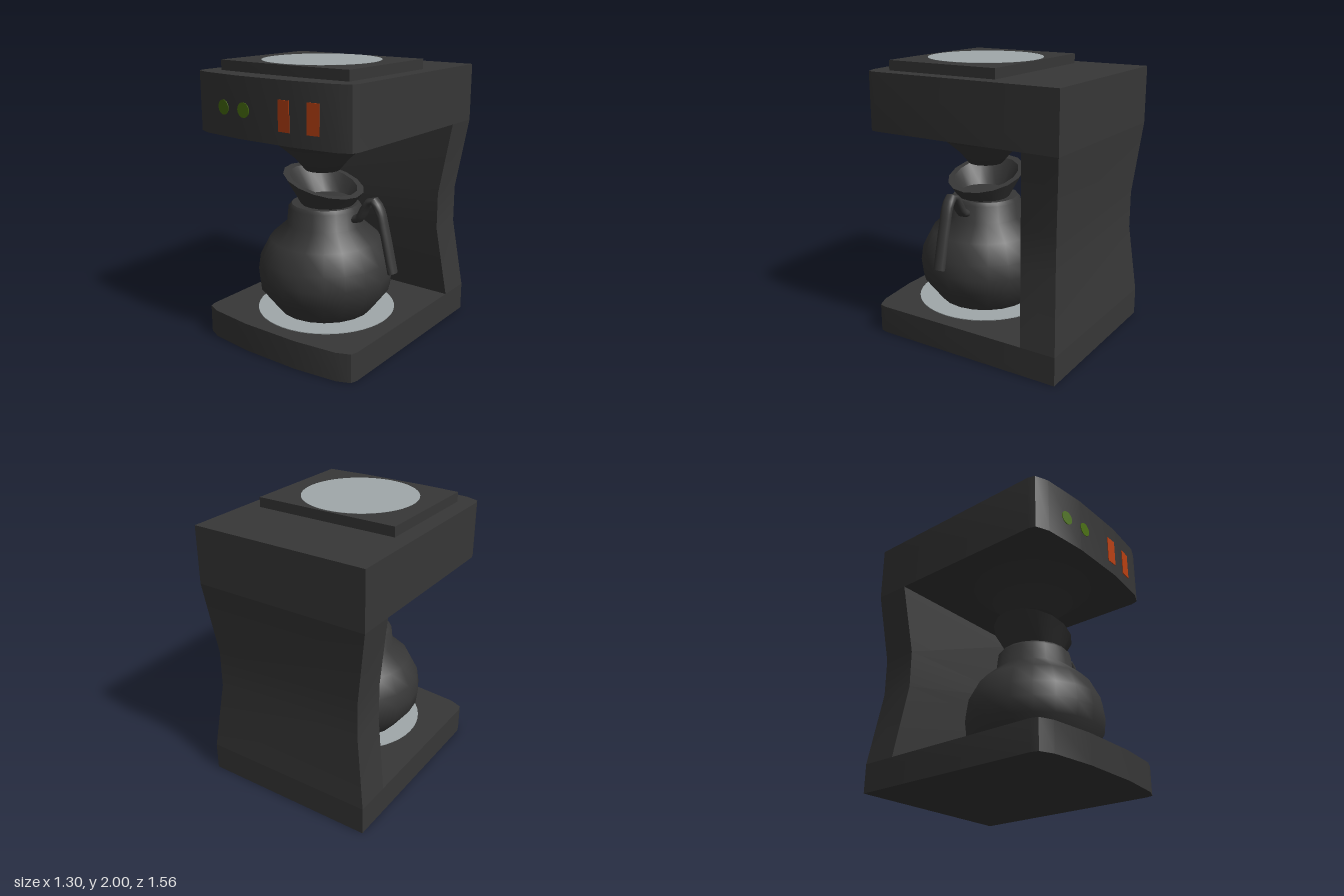
import * as THREE from 'three';
import { toCreasedNormals } from 'three/addons/utils/BufferGeometryUtils.js';

const material = (name, color) => {
  const m = new THREE.MeshStandardMaterial({ color });
  m.name = name;
  return m;
};

export function createModel() {
  const model = new THREE.Group();
  model.name = 'coffeeMaker';
  const charcoal = material('charcoal', 0x373737);
  const steel = material('steel', 0xa0a8aa);
  const green = material('green', 0x4a7010);
  const orange = material('orange', 0xb84012);

  const add = (name, geometry, mat, x = 0, y = 0, z = 0, parent = model) => {
    const mesh = new THREE.Mesh(geometry, mat);
    mesh.name = name;
    mesh.position.set(x, y, z);
    parent.add(mesh);
    return mesh;
  };

  // Upright slab from a mirrored front edge of [x, z] points
  const slab = (half, back, height) => {
    const outline = [[half[0][0], back], ...half];
    const all = [...outline, ...outline.map(([x, z]) => [-x, z]).reverse()];
    const shape = new THREE.Shape(all.map(([x, z]) => new THREE.Vector2(x, -z)));
    const g = new THREE.ExtrudeGeometry(shape, { depth: height, bevelEnabled: false });
    return toCreasedNormals(g.rotateX(-Math.PI / 2), 0.6);
  };
  const lathe = (points, sides) =>
    new THREE.LatheGeometry(points.map(([r, y]) => new THREE.Vector2(r, y)), sides);

  // Base, head and lid share the bowed front
  const front = [[0.65, 0.65], [0.635, 0.70], [0.54, 0.74], [0.22, 0.775]];
  add('base', slab(front, -0.78, 0.205), charcoal);
  add('head', slab(front, -0.78, 0.41), charcoal, 0, 1.52);
  add('lid', slab([[0.535, 0.6], [0.22, 0.615]], -0.26, 0.07), charcoal, 0.005, 1.93);

  // Back column, narrowed and pushed forward at the waist
  const rows = [[0.205, 0.65, 0], [0.73, 0.575, 0.045], [1.0, 0.575, 0.045], [1.52, 0.65, 0]];
  const column = new THREE.BoxGeometry(1, 1, 1, 1, 3, 1);
  const cp = column.attributes.position;
  for (let i = 0; i < cp.count; i++) {
    const [y, halfWidth, shift] = rows[Math.round((cp.getY(i) + 0.5) * 3)];
    cp.setXYZ(i, cp.getX(i) * 2 * halfWidth, y, (cp.getZ(i) > 0 ? -0.52 : -0.78) + shift);
  }
  add('backColumn', toCreasedNormals(column, 0.6), charcoal);

  // Steel discs on the lid and under the pot
  add('lidDisc', new THREE.CylinderGeometry(0.41, 0.41, 0.006, 48), steel, 0, 1.999, 0.17);
  add('warmingPlate', new THREE.CylinderGeometry(0.5, 0.5, 0.008, 48), steel, 0.03, 0.206, 0.17);

  // Filter basket below the head
  const basket = lathe([[0, 1.235], [0.125, 1.235], [0.195, 1.32], [0.275, 1.39], [0.445, 1.525]], 20);
  add('filterBasket', toCreasedNormals(basket, 0.9), charcoal, 0.005, 0, 0.175);

  // Jug with a slanted pouring funnel and a bent handle
  const jug = new THREE.Group();
  jug.name = 'jug';
  jug.position.set(0.022, 0, 0.17);
  model.add(jug);
  const body = lathe([[0, 0.21], [0.345, 0.21], [0.475, 0.38], [0.488, 0.49], [0.472, 0.6],
    [0.4, 0.74], [0.275, 0.85], [0.262, 0.97], [0.24, 0.995], [0, 0.995]], 20);
  add('jugBody', toCreasedNormals(body, 0.85), charcoal, 0, 0, 0, jug);

  const funnel = lathe([[0.175, 0.97], [0.28, 1.152], [0.235, 1.152], [0.16, 1.03], [0, 1.03]], 16);
  const fp = funnel.attributes.position;
  for (let i = 0; i < fp.count; i++) {
    const x = fp.getX(i);
    if (fp.getY(i) > 1.1) fp.setXY(i, x * 1.04 - 0.014, fp.getY(i) - 0.283 * x);
    else fp.setX(i, x + 0.02);
  }
  add('pouringFunnel', toCreasedNormals(funnel, 0.6), charcoal, 0, 0, 0, jug);

  const path = new THREE.CatmullRomCurve3([[0.22, 0.91], [0.3, 0.93], [0.35, 1.01], [0.41, 1.075],
    [0.46, 1.03], [0.51, 0.87], [0.58, 0.585]].map(([x, y]) => new THREE.Vector3(x, y, 0)));
  const section = new THREE.Shape().absellipse(0, 0, 0.045, 0.031, 0, Math.PI * 2);
  const handle = new THREE.ExtrudeGeometry(section, { steps: 20, curveSegments: 10, extrudePath: path });
  add('handle', toCreasedNormals(handle, 0.9), charcoal, 0, 0, 0, jug);

  // Indicator lights and switches, laid on the bowed front
  const bow = (x) => 0.775 - Math.max(0, Math.abs(x) - 0.22) * 0.109;
  const turn = (x) => (Math.abs(x) > 0.22 ? Math.sign(x) * 0.109 : 0);
  for (const x of [-0.36, -0.17]) {
    const light = new THREE.CylinderGeometry(0.05, 0.05, 0.008, 20).rotateX(Math.PI / 2);
    add('indicatorLight', light, green, x, 1.713, bow(x)).rotation.y = turn(x);
  }
  for (const x of [0.17, 0.387]) {
    const plate = new THREE.BoxGeometry(0.09, 0.2, 0.009);
    add('powerSwitch', plate, orange, x, 1.708, bow(x)).rotation.y = turn(x);
  }
  return model;
}
